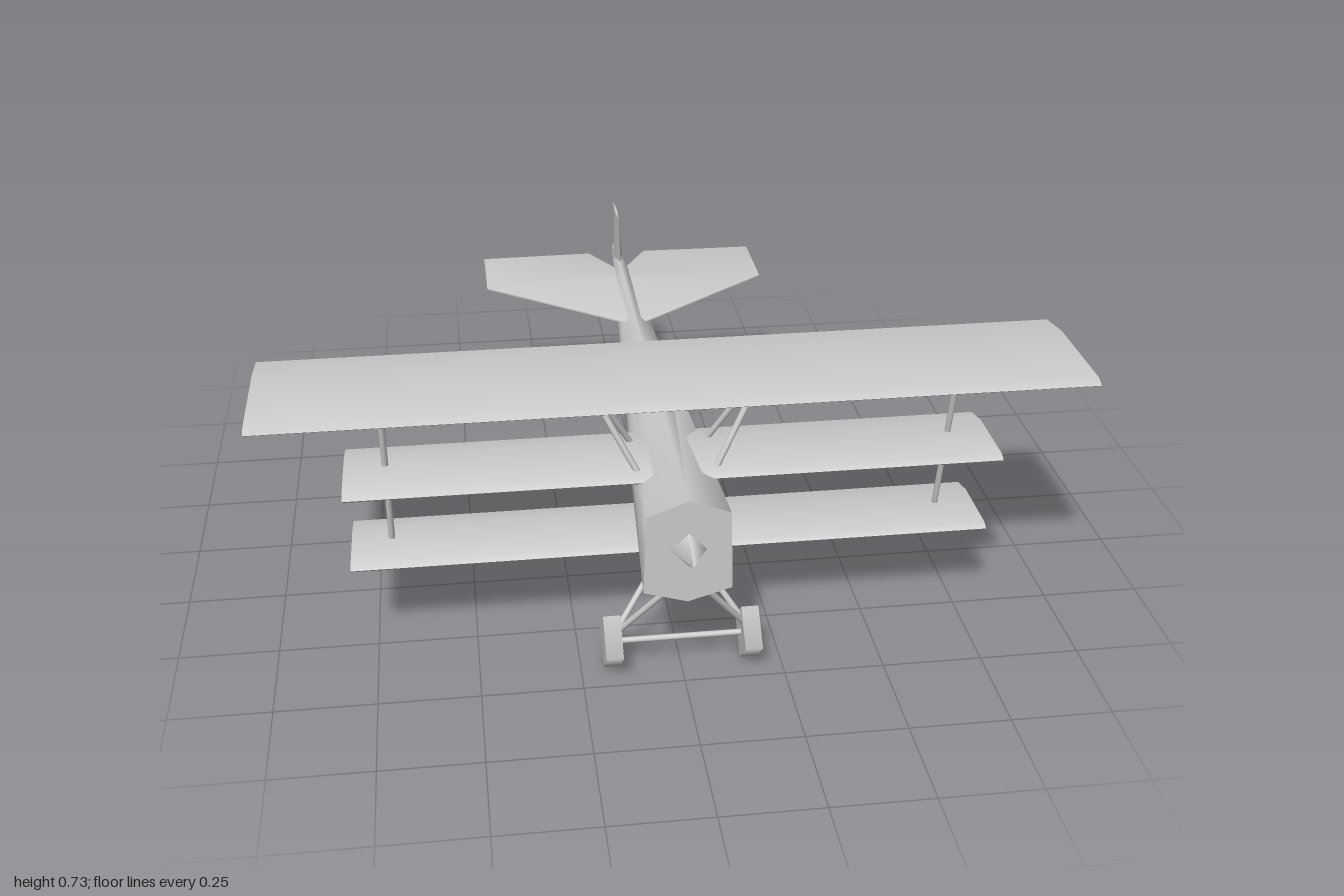
import * as THREE from 'three';
import { mergeVertices, toCreasedNormals } from 'three/addons/utils/BufferGeometryUtils.js';

const grey = new THREE.MeshStandardMaterial({ color: 0xcccccc });
grey.name = 'plain grey';

export function createModel() {
  const model = new THREE.Group();
  model.name = 'triplane';

  const add = (name, geometry) => {
    const mesh = new THREE.Mesh(geometry, grey);
    mesh.name = name;
    model.add(mesh);
    return mesh;
  };

  // Skin a row of closed rings (counter-clockwise seen from the last ring) and cap both ends
  const loft = (rings, crease = 1) => {
    const n = rings[0].length;
    const last = (rings.length - 1) * n;
    const index = [];
    for (let r = 0; r < last; r += n) {
      for (let j = 0; j < n; j++) {
        const a = r + j, b = r + (j + 1) % n;
        index.push(a, b, b + n, a, b + n, a + n);
      }
    }
    for (let j = 1; j < n - 1; j++) {
      index.push(0, j + 1, j, last, last + j, last + j + 1);
    }
    const g = new THREE.BufferGeometry();
    g.setAttribute('position', new THREE.Float32BufferAttribute(rings.flat(2), 3));
    g.setIndex(index);
    return toCreasedNormals(g, crease);
  };

  // Round rod between two points
  const rod = (name, from, to, radius = 0.008) => {
    const a = new THREE.Vector3(...from), b = new THREE.Vector3(...to);
    const dir = b.clone().sub(a);
    const mesh = add(name, new THREE.CylinderGeometry(radius, radius, dir.length(), 8));
    mesh.position.copy(a).add(b).multiplyScalar(0.5);
    mesh.quaternion.setFromUnitVectors(new THREE.Vector3(0, 1, 0), dir.normalize());
  };

  // Fuselage: six-sided sections from tail to nose
  // z, top y, shoulder y, shoulder half width, lower y, lower half width, bottom y
  const stations = [
    [-0.845, 0.51, 0.505, 0.006, 0.495, 0.006, 0.49],
    [-0.655, 0.528, 0.515, 0.019, 0.455, 0.018, 0.44],
    [-0.04, 0.522, 0.49, 0.058, 0.315, 0.058, 0.28],
    [0.78, 0.532, 0.495, 0.1, 0.287, 0.107, 0.255],
  ];
  add('fuselage', loft(stations.map(([z, top, sy, sw, ly, lw, bottom]) => [
    [0, top, z], [-sw, sy, z], [-lw, ly, z], [0, bottom, z], [lw, ly, z], [sw, sy, z],
  ]), 1.2));

  // Four-sided spinner
  const spinner = new THREE.ConeGeometry(0.044, 0.08, 4);
  spinner.rotateX(Math.PI / 2);
  add('spinner', spinner).position.set(0, 0.4, 0.819);

  // Three wings: half span, bottom y, leading z, trailing z
  const wings = [
    ['topWing', 1, 0.711, 0.682, 0.29],
    ['middleWing', 0.8, 0.49, 0.625, 0.357],
    ['lowerWing', 0.8, 0.251, 0.555, 0.306],
  ];
  for (const [name, span, y, lead, trail] of wings) {
    const chord = lead - trail;
    add(name, loft([-span, span].map((x) => [
      [x, y + 0.017, trail + chord * 0.27],
      [x, y + 0.017, lead - chord * 0.06],
      [x, y + 0.007, lead],
      [x, y, lead - chord * 0.03],
      [x, y, trail],
    ])));
  }

  // Tailplane with a notch for the rudder
  const half = [[0.41, -0.55], [0.41, -0.775], [0.085, -0.78]];
  const outline = [[0, -0.24], ...half, [0, -0.63],
    ...half.map(([x, z]) => [-x, z]).reverse()];
  const tail = new THREE.ExtrudeGeometry(
    new THREE.Shape(outline.map(([x, z]) => new THREE.Vector2(x, z))),
    { depth: 0.004, bevelThickness: 0.006, bevelSize: 0.02, bevelOffset: -0.02, bevelSegments: 1 });
  tail.rotateX(Math.PI / 2);
  tail.translate(0, 0.508, 0);
  add('tailplane', toCreasedNormals(mergeVertices(tail), 0.6));

  // Rudder: thin diamond sections, narrowing to the top
  const rudder = [
    [0.49, -0.642, -0.845, 0.013],
    [0.53, -0.656, -0.848, 0.013],
    [0.648, -0.698, -0.857, 0.004],
  ];
  add('rudder', loft(rudder.map(([y, front, rear, w]) => {
    const mid = front + (rear - front) * 0.45;
    return [[0, y, front], [w, y, mid], [0, y, rear], [-w, y, mid]];
  })));

  // Mirrored struts and wheels
  for (const [side, s] of [['left', 1], ['right', -1]]) {
    rod(side + 'WingStrut', [s * 0.7, 0.26, 0.424], [s * 0.7, 0.718, 0.524]);
    rod(side + 'FrontCabaneStrut', [s * 0.09, 0.49, 0.582], [s * 0.21, 0.718, 0.524]);
    rod(side + 'RearCabaneStrut', [s * 0.09, 0.49, 0.424], [s * 0.21, 0.718, 0.507]);
    rod(side + 'FrontGearStrut', [s * 0.04, 0.275, 0.75], [s * 0.157, 0.11, 0.675]);
    rod(side + 'RearGearStrut', [s * 0.04, 0.275, 0.595], [s * 0.157, 0.11, 0.665]);

    const wheel = new THREE.CylinderGeometry(0.076, 0.076, 0.043, 4);
    wheel.rotateZ(Math.PI / 2);
    add(side + 'Wheel', wheel).position.set(s * 0.172, 0.076, 0.67);
  }
  rod('axle', [-0.16, 0.077, 0.67], [0.16, 0.077, 0.67]);

  return model;
}
